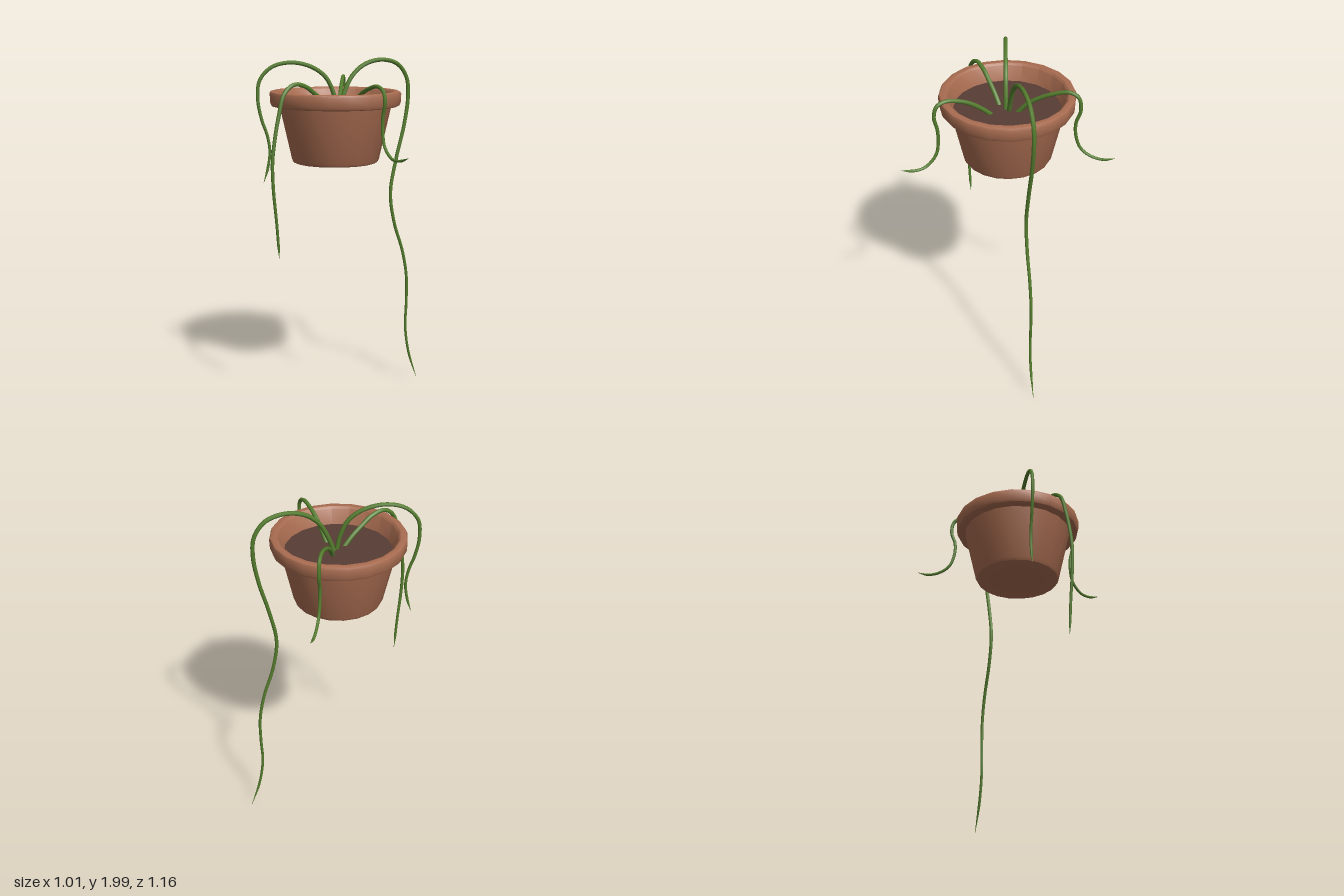
import * as THREE from 'three';
import { toCreasedNormals } from 'three/addons/utils/BufferGeometryUtils.js';

const POT_X = -0.057, POT_Z = -0.005, SIDES = 20, SOIL_Y = 1.72;

const terracotta = new THREE.MeshStandardMaterial({ name: 'terracotta', color: 0xa86c50 });
const soilBrown = new THREE.MeshStandardMaterial({ name: 'soilBrown', color: 0x573c34 });
const vineGreen = new THREE.MeshStandardMaterial({ name: 'vineGreen', color: 0x557d2e });

// Turned part of the pot from a [radius, y] profile
function turned(name, profile) {
  const points = profile.map(([r, y]) => new THREE.Vector2(r, y));
  const geometry = toCreasedNormals(new THREE.LatheGeometry(points, SIDES), 0.6);
  const mesh = new THREE.Mesh(geometry, terracotta);
  mesh.name = name;
  mesh.position.set(POT_X, 0, POT_Z);
  return mesh;
}

// Tapered stem lying in a vertical plane: path is [distance along start-to-end line, y]
function vine(name, start, direction, path) {
  const length = Math.hypot(...direction);
  const dx = direction[0] / length, dz = direction[1] / length;
  const curve = new THREE.CatmullRomCurve3(
    path.map(([d, y]) => new THREE.Vector3(start[0] + dx * d, y, start[1] + dz * d)));
  const segments = path.length * 6, sides = 7;
  const geometry = new THREE.TubeGeometry(curve, segments, 0.0135, sides);
  const pos = geometry.attributes.position;
  const p = new THREE.Vector3(), centre = new THREE.Vector3();
  for (let i = 0; i <= segments; i++) {
    const t = i / segments;
    const scale = Math.min(1 - 0.45 * t, 0.05 + (1 - t) * 9);
    curve.getPointAt(t, centre);
    for (let j = 0; j <= sides; j++) {
      const k = i * (sides + 1) + j;
      p.fromBufferAttribute(pos, k).sub(centre).multiplyScalar(scale).add(centre);
      pos.setXYZ(k, p.x, p.y, p.z);
    }
  }
  const mesh = new THREE.Mesh(geometry, vineGreen);
  mesh.name = name;
  return mesh;
}

export function createModel() {
  const model = new THREE.Group();
  model.name = 'hangingPlant';

  // Pot: tapered body with closed bottom, and a thick overhanging rim
  model.add(turned('potBody', [[0, 1.408], [0.23, 1.408], [0.243, 1.413], [0.252, 1.43], [0.322, 1.74]]));
  model.add(turned('potRim', [
    [0.31, 1.73], [0.35, 1.73], [0.366, 1.735], [0.373, 1.75], [0.376, 1.8],
    [0.371, 1.812], [0.36, 1.817], [0.337, 1.815], [0.325, 1.805], [0.295, SOIL_Y - 0.01],
  ]));

  // Soil disc
  const soil = new THREE.Mesh(new THREE.CircleGeometry(0.3, SIDES), soilBrown);
  soil.name = 'soil';
  soil.rotation.x = -Math.PI / 2;
  soil.position.set(POT_X, SOIL_Y, POT_Z);
  model.add(soil);

  // Trailing vines
  model.add(vine('longLeftVine', [-0.035, -0.012], [0.45, -0.104], [
    [0, 1.7], [0.035, 1.8], [0.09, 1.9], [0.17, 1.962], [0.28, 1.986], [0.385, 1.96], [0.448, 1.88],
    [0.46, 1.77], [0.435, 1.6], [0.383, 1.4], [0.347, 1.2], [0.373, 1.02], [0.435, 0.83],
    [0.465, 0.67], [0.467, 0.5], [0.462, 0.35], [0.487, 0.18], [0.547, 0.003]]));
  model.add(vine('rightVine', [-0.045, 0.004], [-0.45, -0.02], [
    [0, 1.7], [0.022, 1.8], [0.065, 1.89], [0.145, 1.95], [0.265, 1.977], [0.375, 1.952], [0.443, 1.88],
    [0.455, 1.77], [0.435, 1.66], [0.405, 1.57], [0.392, 1.48], [0.406, 1.38], [0.43, 1.3]]));
  model.add(vine('frontRightVine', [-0.085, 0.032], [-0.38, 0.19], [
    [0, 1.7], [0.06, 1.76], [0.13, 1.812], [0.19, 1.85], [0.272, 1.863], [0.338, 1.815], [0.376, 1.7],
    [0.404, 1.58], [0.423, 1.45], [0.42, 1.3], [0.4, 1.1], [0.385, 0.9]]));
  model.add(vine('frontVine', [-0.008, 0.075], [0.205, 0.505], [
    [0, 1.7], [0.07, 1.765], [0.14, 1.815], [0.2, 1.842], [0.275, 1.858], [0.325, 1.838], [0.343, 1.78],
    [0.327, 1.7], [0.325, 1.62], [0.342, 1.54], [0.405, 1.48], [0.47, 1.474], [0.545, 1.497]]));
  model.add(vine('backVine', [-0.022, -0.05], [0.18, -0.535], [
    [0, 1.7], [0.06, 1.77], [0.12, 1.815], [0.2, 1.855], [0.295, 1.88], [0.345, 1.855], [0.358, 1.78],
    [0.335, 1.7], [0.338, 1.62], [0.37, 1.54], [0.43, 1.5], [0.495, 1.49], [0.56, 1.508]]));

  return model;
}
